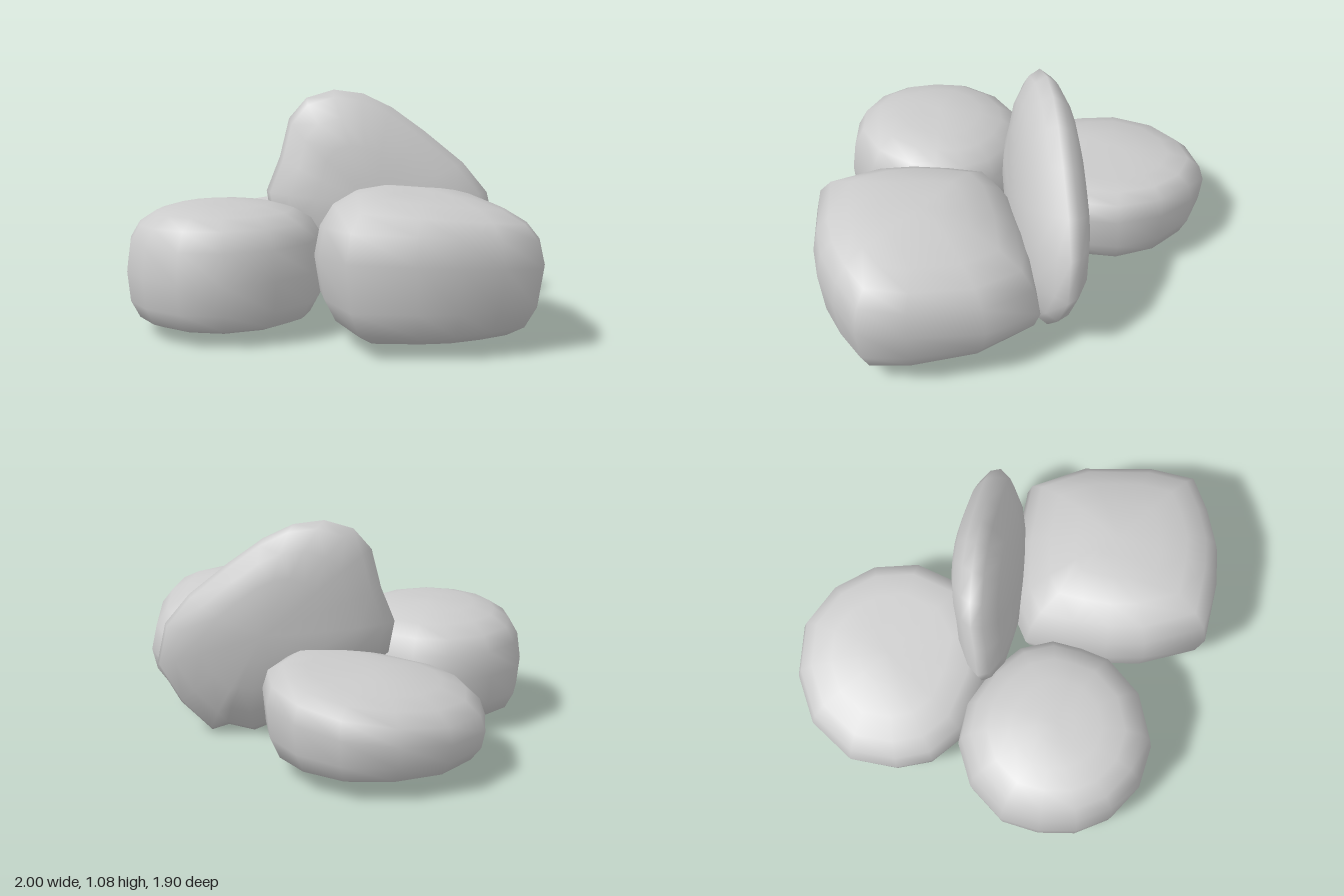
import * as THREE from 'three';

const material = new THREE.MeshStandardMaterial({ color: 0xcccccc });

// Skins a stack of closed loops and closes both ends with a fan.
function skin(loops, startCap, endCap) {
  const n = loops[0].length;
  const pos = [...loops.flat(), startCap, endCap].flat();
  const first = loops.length * n, last = first + 1, top = first - n;
  const index = [];
  for (let i = 0; i < n; i++) {
    const j = (i + 1) % n;
    for (let k = 0; k < loops.length - 1; k++) {
      const a = k * n + i, b = k * n + j;
      index.push(a, b, a + n, b, b + n, a + n);
    }
    index.push(first, j, i, last, top + i, top + j);
  }
  const g = new THREE.BufferGeometry();
  g.setAttribute('position', new THREE.Float32BufferAttribute(pos, 3));
  g.setIndex(index);
  g.computeVertexNormals();
  return g;
}

function middle(outline) {
  const box = new THREE.Box2().setFromPoints(outline.map(p => new THREE.Vector2(...p)));
  return box.getCenter(new THREE.Vector2());
}

// Lying stone: plan outline [x, z], layers [height, scale, slope along x, slope along z].
function lyingStone(outline, layers) {
  const c = middle(outline);
  const loops = layers.map(([y, s, slopeX = 0, slopeZ = 0]) => outline.map(([x, z]) => {
    const dx = (x - c.x) * s, dz = (z - c.y) * s;
    return [c.x + dx, y + slopeX * dx + slopeZ * dz, c.y + dz];
  }));
  return skin(loops, [c.x, layers[0][0] - 0.005, c.y], [c.x, layers.at(-1)[0] + 0.005, c.y]);
}

// Upright slab: face outline [x, y], layers [depth, scale], turned and leaned back by shearing z.
function uprightSlab(outline, layers) {
  const c = middle(outline);
  const place = (x, y, d) => [x, y, -0.13 - 0.32 * x - 0.1 * (y - 0.5) + d];
  const loops = layers.map(([d, s]) => outline.map(([x, y]) =>
    place(c.x + (x - c.x) * s, c.y + (y - c.y) * s, d)));
  const e = layers.at(-1)[0] + 0.005;
  return skin(loops, place(c.x, c.y, -e), place(c.x, c.y, e));
}

export function createModel() {
  const group = new THREE.Group();
  const add = (name, geometry) => {
    const mesh = new THREE.Mesh(geometry, material);
    mesh.name = name;
    group.add(mesh);
  };

  add('backStone', lyingStone(
    [[0.03, -0.53], [-0.07, -0.74], [-0.25, -0.89], [-0.48, -0.95], [-0.72, -0.87], [-0.91, -0.7], [-1, -0.45],
      [-0.95, -0.22], [-0.85, -0.07], [-0.68, 0.02], [-0.4, 0.02], [-0.15, -0.03], [0.02, -0.25]],
    [[0.05, 0.45], [0.06, 0.72], [0.09, 0.88], [0.17, 0.97, 0.04], [0.29, 1, 0.12], [0.37, 0.95, 0.14],
      [0.42, 0.82, 0.13], [0.445, 0.6, 0.1], [0.46, 0.3, 0.05]]));

  add('frontRoundStone', lyingStone(
    [[-0.06, 0.4], [-0.08, 0.25], [-0.18, 0.11], [-0.35, 0.02], [-0.55, -0.02], [-0.73, 0.02], [-0.9, 0.16],
      [-0.99, 0.36], [-0.97, 0.55], [-0.9, 0.72], [-0.77, 0.85], [-0.58, 0.92], [-0.37, 0.9], [-0.17, 0.76], [-0.06, 0.55]],
    [[0.045, 0.5], [0.055, 0.75], [0.08, 0.88], [0.16, 0.97], [0.3, 1], [0.43, 0.96, 0.01, 0.03], [0.51, 0.86, 0.02, 0.05],
      [0.56, 0.69, 0.02, 0.05], [0.59, 0.46, 0.02, 0.04], [0.6, 0.2]]));

  add('largeStone', lyingStone(
    [[1, 0.6], [0.98, 0.37], [0.86, 0.03], [0.66, -0.2], [0.3, -0.12], [0, 0], [-0.12, 0.12], [-0.1, 0.32],
      [-0.06, 0.52], [0.01, 0.7], [0.2, 0.95], [0.5, 0.9], [0.68, 0.84], [0.85, 0.73]],
    [[0.04, 0.4, 0, -0.04], [0.07, 0.7, 0, -0.04], [0.12, 0.85, 0, -0.03], [0.21, 0.95, 0, 0.02], [0.36, 1, 0, 0.14],
      [0.49, 0.95, -0.02, 0.14], [0.575, 0.84, -0.05, 0.13], [0.635, 0.65, -0.07, 0.12], [0.67, 0.4, -0.07, 0.08],
      [0.68, 0.18, -0.04, 0.05]]));

  add('uprightStone', uprightSlab(
    [[0.22, 0], [0.34, 0.03], [0.42, 0], [0.56, 0.15], [0.66, 0.35], [0.61, 0.56], [0.49, 0.71], [0.3, 0.87],
      [0.14, 0.99], [0, 1.06], [-0.14, 1.08], [-0.27, 1.04], [-0.35, 0.94], [-0.39, 0.75], [-0.45, 0.58],
      [-0.42, 0.42], [-0.2, 0.2], [0, 0.1]],
    [[-0.165, 0.25], [-0.15, 0.52], [-0.115, 0.76], [-0.055, 0.94], [0, 1], [0.055, 0.94], [0.115, 0.76],
      [0.15, 0.52], [0.165, 0.25]]));

  return group;
}
